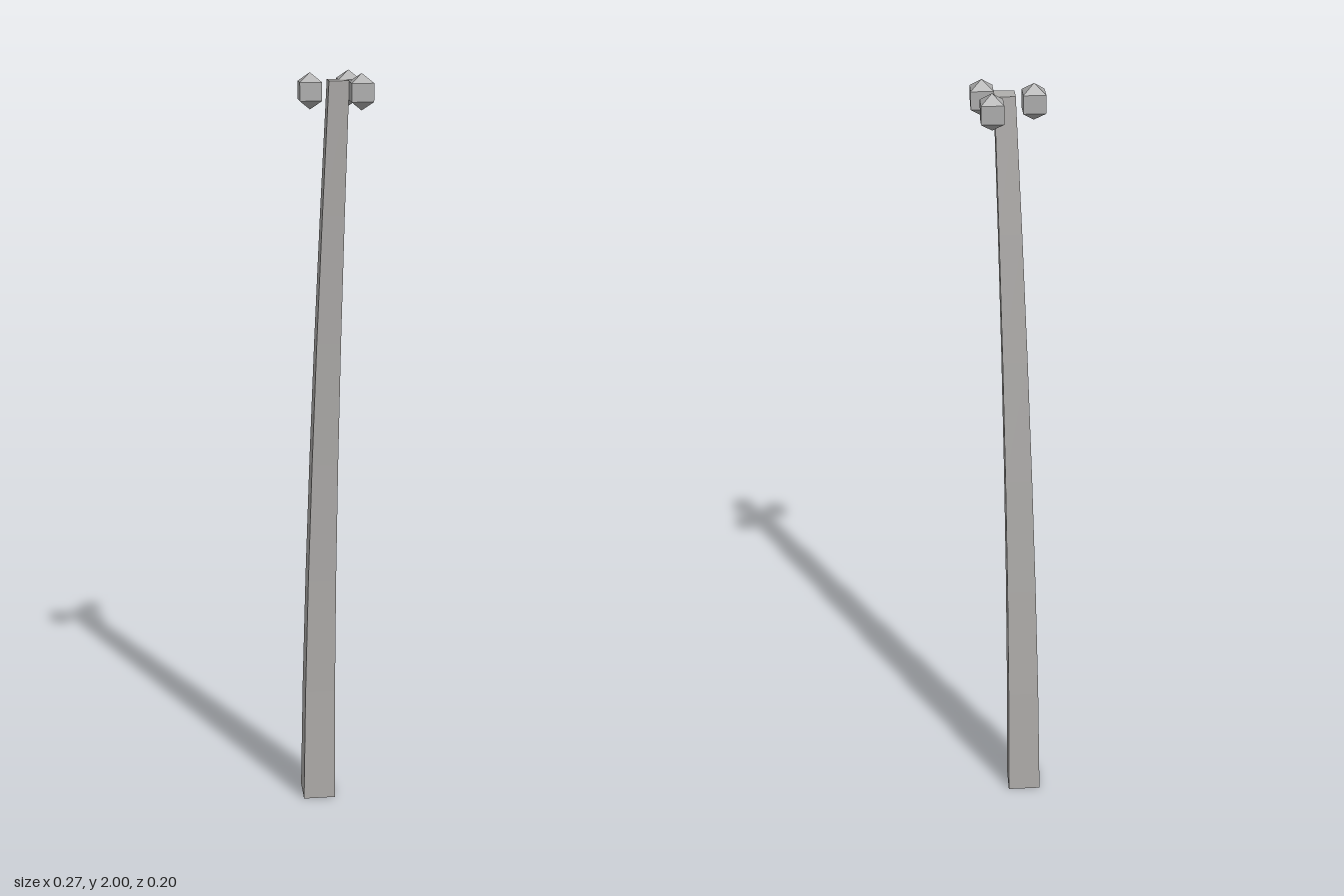
import * as THREE from 'three';

export function createModel() {
  const model = new THREE.Group();
  const bark = new THREE.MeshStandardMaterial({ name: 'bark grey', color: 0xb0aeac, flatShading: true });
  const shell = new THREE.MeshStandardMaterial({ name: 'nut grey', color: 0xb0b0b0, flatShading: true });

  // Four-sided tapering trunk, bent progressively towards the top
  const height = 1.98;
  const geo = new THREE.CylinderGeometry(0.035, 0.062, height, 4, 6);
  geo.translate(0, height / 2, 0);
  const pos = geo.attributes.position;
  for (let i = 0; i < pos.count; i++) {
    const y = Math.max(0, pos.getY(i));
    const bend = Math.pow(y / height, 1.6);
    pos.setXYZ(i, pos.getX(i) - 0.075 + 0.1 * bend, y, pos.getZ(i) - 0.037 + 0.039 * bend);
  }
  geo.computeVertexNormals();
  const trunk = new THREE.Mesh(geo, bark);
  trunk.name = 'trunk';
  model.add(trunk);

  // Three faceted nuts around the trunk top
  const nutGeo = new THREE.SphereGeometry(0.044, 4, 3);
  const spots = [[0.098, 0.003], [0.005, -0.064], [-0.015, 0.061]];
  spots.forEach(([x, z], i) => {
    const nut = new THREE.Mesh(nutGeo, shell);
    nut.name = `nut${i + 1}`;
    nut.position.set(x, 1.956, z);
    model.add(nut);
  });

  return model;
}
